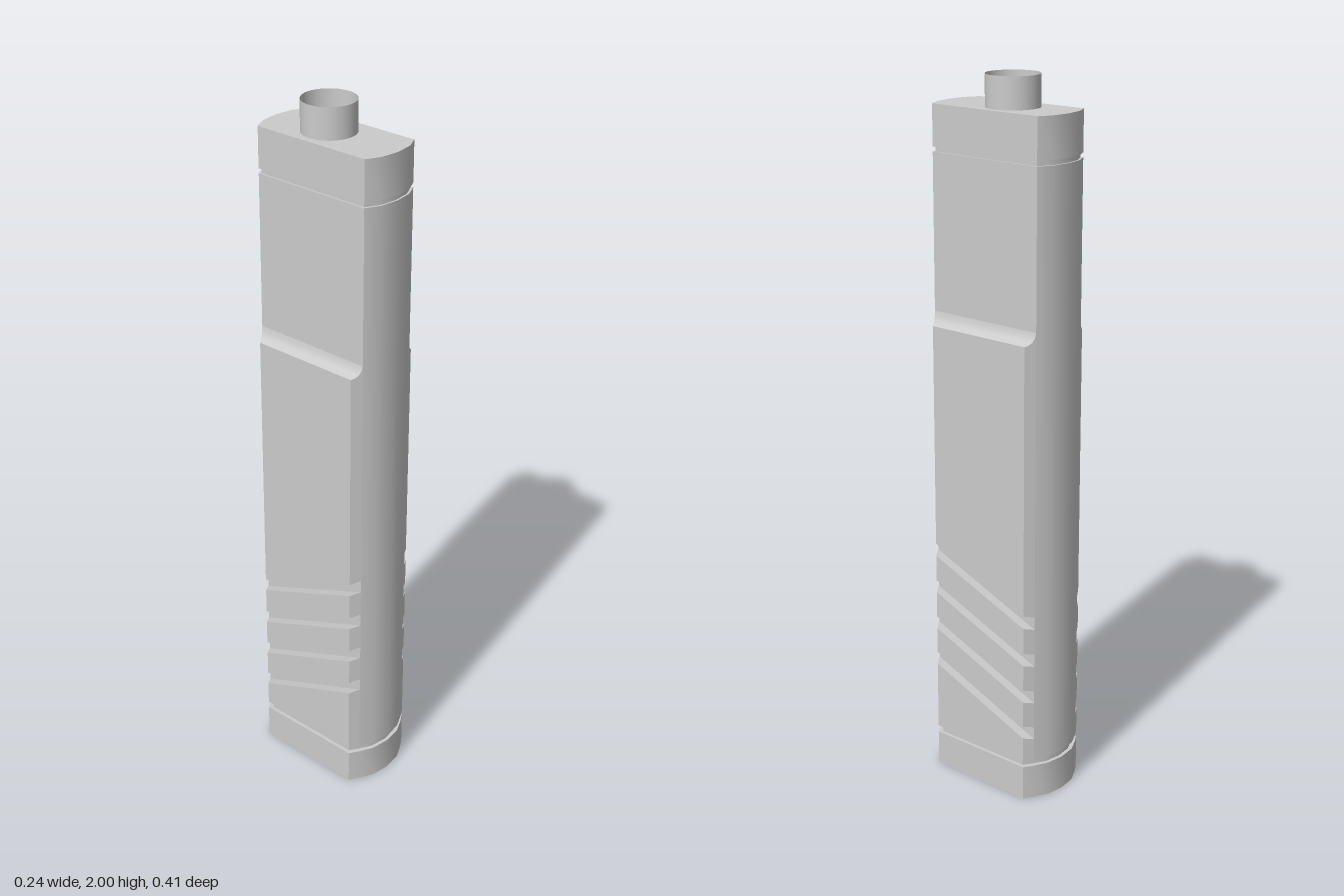
import * as THREE from 'three';
import { toCreasedNormals } from 'three/addons/utils/BufferGeometryUtils.js';

const CORE = 0.093;  // half width of the slim core
const GRIP = 0.12;   // half width with the side plates
const SLOPE = 0.4;   // groove slant along z

// Half depth of the rounded faces at a given x
const ARC = [[0, 0.205], [0.053, 0.198], [CORE, 0.178], [GRIP, 0.161]];
function halfDepth(x) {
  const a = Math.min(Math.abs(x), GRIP);
  const i = Math.max(1, ARC.findIndex(p => p[0] >= a - 1e-6));
  const [x0, z0] = ARC[i - 1], [x1, z1] = ARC[i];
  return z0 + (z1 - z0) * (a - x0) / (x1 - x0);
}

// Flat-sided, round-ended outline of half width w, shrunk by inset
function outline(w, inset = 0) {
  const xs = ARC.map(p => p[0]).filter(x => x <= w);
  const across = [...xs.slice(1).reverse().map(x => -x), ...xs];
  const k = (w - inset) / w;
  const front = across.map(x => new THREE.Vector2(x * k, -(halfDepth(x) - inset)));
  const back = [...across].reverse().map(x => new THREE.Vector2(x * k, halfDepth(x) - inset));
  return new THREE.Shape([...front, ...back]);
}

// Upright prism of a shape from y0 to y1
function prism(shape, y0, y1) {
  const geo = new THREE.ExtrudeGeometry(shape, { depth: y1 - y0, bevelEnabled: false, curveSegments: 24 });
  geo.rotateX(-Math.PI / 2).translate(0, y0, 0);
  return toCreasedNormals(geo, 0.5);
}

// Side plate from an x-y profile, ends following the rounded faces; groove edges slant
function sidePlate(points, side) {
  const shape = new THREE.Shape(points.map(([x, y]) => new THREE.Vector2(x * side, y)));
  const geo = new THREE.ExtrudeGeometry(shape, { depth: 2, bevelEnabled: false });
  geo.translate(0, 0, -1);
  const p = geo.attributes.position;
  for (let i = 0; i < p.count; i++) {
    const z = p.getZ(i) * halfDepth(p.getX(i));
    const y = p.getY(i);
    p.setXYZ(i, p.getX(i), y > 0.2 && y < 1 ? y + SLOPE * z : y, z);
  }
  return toCreasedNormals(geo, 0.5);
}

export function createModel() {
  const model = new THREE.Group();
  const grey = new THREE.MeshStandardMaterial({ color: 0xcccccc });
  const thin = new THREE.MeshStandardMaterial({ color: 0xcccccc, side: THREE.DoubleSide });
  const add = (name, geo, mat = grey) => {
    const mesh = new THREE.Mesh(geo, mat);
    mesh.name = name;
    model.add(mesh);
    return mesh;
  };

  // Base cap with a countersunk socket
  const base = outline(GRIP);
  base.holes.push(new THREE.Path().absarc(0, 0, 0.07, 0, Math.PI * 2, true));
  add('baseCap', prism(base, 0, 0.1));
  const socket = [[0.07, 0], [0.05, 0.012], [0.05, 0.085], [0, 0.085]].map(p => new THREE.Vector2(...p));
  add('baseSocket', toCreasedNormals(new THREE.LatheGeometry(socket, 32), 0.5), thin);
  add('baseSeam', prism(outline(GRIP, 0.01), 0.1, 0.12));

  // Slim core, top seam and top cap
  add('core', prism(outline(CORE), 0.12, 1.79));
  add('topSeam', prism(outline(CORE, 0.005), 1.79, 1.803));
  add('topCap', prism(outline(CORE), 1.803, 1.915));

  // Side plates cut into bands by four slanted grooves
  const grooveCount = 4, pitch = 0.112, grooveHeight = 0.037, topGroove = 0.628;
  for (const side of [1, -1]) {
    const sideName = side > 0 ? 'left' : 'right';
    let bottom = 0.12;
    for (let i = grooveCount - 1; i >= 0; i--) {
      const grooveTop = topGroove - i * pitch;
      const top = grooveTop - grooveHeight;
      add(`${sideName}GripBand`, sidePlate([[CORE, bottom], [GRIP, bottom], [GRIP, top], [CORE, top]], side));
      bottom = grooveTop;
    }
    // Upper plate ends in a concave shoulder
    const shoulder = [[GRIP, 1.325], [0.111, 1.328], [0.102, 1.335], [0.096, 1.346], [CORE, 1.36]];
    add(`${sideName}SidePlate`, sidePlate([[CORE, bottom], [GRIP, bottom], ...shoulder], side));
  }

  // Open tube on top
  const tube = add('topTube', new THREE.CylinderGeometry(0.073, 0.073, 0.085, 32, 1, true), thin);
  tube.position.set(0, 1.9575, -0.02);

  return model;
}
